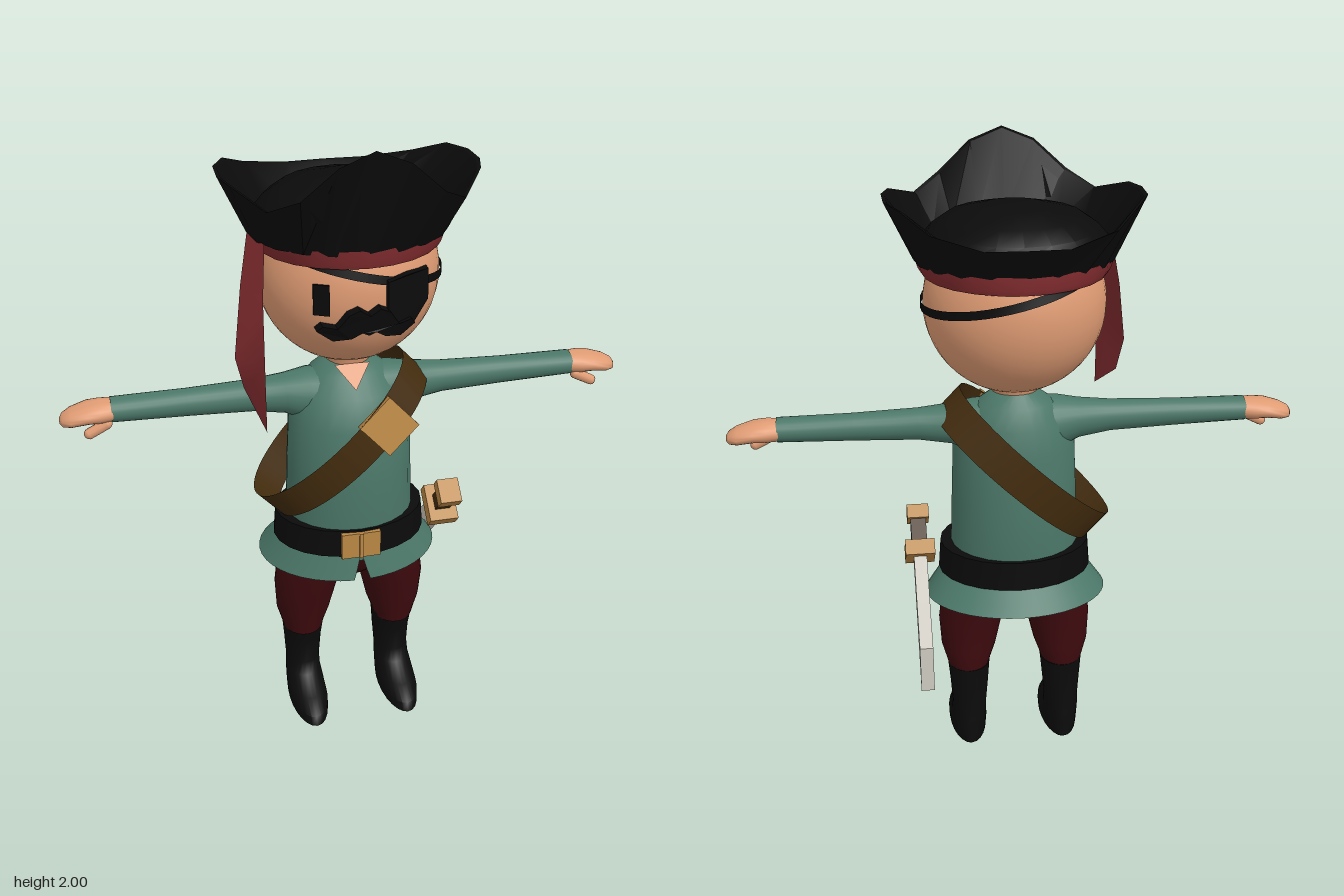
import * as THREE from 'three';
import { toCreasedNormals } from 'three/addons/utils/BufferGeometryUtils.js';

const mat = (name, color, side = THREE.FrontSide) =>
  Object.assign(new THREE.MeshStandardMaterial({ color, side }), { name });

// Ellipse of n points at height y
const ring = (y, rx, rz, cx = 0, cz = 0, n = 24) =>
  Array.from({ length: n }, (_, i) => {
    const a = (i / n) * Math.PI * 2;
    return [cx + rx * Math.sin(a), y, cz + rz * Math.cos(a)];
  });

// Skin over closed rings listed from the bottom up, capped at both ends
function loft(rings) {
  const n = rings[0].length, pos = rings.flat(2), idx = [];
  for (let i = 0; i < rings.length - 1; i++)
    for (let j = 0; j < n; j++) {
      const a = i * n + j, b = i * n + (j + 1) % n;
      idx.push(a, b, b + n, a, b + n, a + n);
    }
  [rings[0], rings.at(-1)].forEach((r, end) => {
    const c = pos.length / 3, start = end ? (rings.length - 1) * n : 0;
    for (let k = 0; k < 3; k++) pos.push(r.reduce((t, p) => t + p[k], 0) / n);
    for (let j = 0; j < n; j++) {
      const a = start + j, b = start + (j + 1) % n;
      idx.push(...(end ? [a, b, c] : [b, a, c]));
    }
  });
  const g = new THREE.BufferGeometry();
  g.setAttribute('position', new THREE.Float32BufferAttribute(pos, 3));
  g.setIndex(idx);
  g.computeVertexNormals();
  return g;
}
const body = rows => toCreasedNormals(loft(rows.map(r => ring(...r))), 0.9);

// Sheet whose points come from rule(u, v): u 0..1 around, v 0..1 upward
function sheet(nu, nv, rule) {
  const g = new THREE.PlaneGeometry(1, 1, nu, nv), p = g.attributes.position;
  for (let i = 0; i < p.count; i++) p.setXYZ(i, ...rule(p.getX(i) + 0.5, p.getY(i) + 0.5));
  g.computeVertexNormals();
  return g;
}

// Head ellipsoid
const HEAD = { y: 1.55, z: -0.015, rx: 0.275, ry: 0.278, rz: 0.258 };
const headZ = (x, y) => HEAD.z + HEAD.rz *
  Math.sqrt(Math.max(0, 1 - (x / HEAD.rx) ** 2 - ((y - HEAD.y) / HEAD.ry) ** 2));

// Flat outline wrapped on the face
function faceShape(points, depth, lift) {
  const shape = new THREE.Shape(points.map(p => new THREE.Vector2(...p)));
  const g = new THREE.ExtrudeGeometry(shape, { depth, bevelEnabled: false });
  const p = g.attributes.position;
  for (let i = 0; i < p.count; i++) p.setZ(i, p.getZ(i) + headZ(p.getX(i), p.getY(i)) + lift);
  g.computeVertexNormals();
  return g;
}

export function createModel() {
  const D = THREE.DoubleSide;
  const skin = mat('skin', 0xe09c74), tunic = mat('tunic green', 0x4b7768, D),
    black = mat('black', 0x0b0b0b, D), red = mat('bandana red', 0x822c2f, D),
    maroon = mat('trouser maroon', 0x3d0a0e), brown = mat('leather brown', 0x432c0e, D),
    gold = mat('gold', 0xbb8845), steel = mat('steel', 0xc8c4ba);
  const model = new THREE.Group();
  const add = (name, geo, material, parent = model) => {
    const m = new THREE.Mesh(geo, material);
    m.name = name;
    parent.add(m);
    return m;
  };

  // Head and neck
  const head = add('head', new THREE.SphereGeometry(1, 40, 28), skin);
  head.scale.set(HEAD.rx, HEAD.ry, HEAD.rz);
  head.position.set(0, HEAD.y, HEAD.z);
  add('neck', body([[1.2, 0.065, 0.06, 0, -0.015], [1.27, 0.07, 0.065, 0, -0.015], [1.32, 0.1, 0.09, 0, -0.015]]), skin);

  // Face: eye, moustache, patch and its strap
  add('eye', faceShape([[-0.15, 1.505], [-0.107, 1.505], [-0.107, 1.597], [-0.15, 1.597]], 0.008, 0.001), black);
  const half = [[0.03, 1.535], [0.06, 1.52], [0.09, 1.475], [0.13, 1.48], [0.145, 1.46], [0.1, 1.43], [0.05, 1.44], [0.02, 1.46]];
  add('moustache', faceShape([[0, 1.515], ...half, [0, 1.45], ...half.map(([x, y]) => [-x, y]).reverse()], 0.04, -0.005), black);
  add('eyePatch', faceShape([[0.055, 1.605], [0.055, 1.52], [0.085, 1.465], [0.145, 1.46], [0.19, 1.52], [0.19, 1.61], [0.12, 1.615]], 0.03, -0.004), black);
  add('patchStrap', sheet(48, 1, (u, v) => {
    const a = u * Math.PI * 2, y = 1.603 - 0.065 * Math.sin(a) + v * 0.026;
    const k = 1.025 * Math.sqrt(1 - ((y - HEAD.y) / HEAD.ry) ** 2);
    return [HEAD.rx * k * Math.sin(a), y, HEAD.z + HEAD.rz * k * Math.cos(a)];
  }), black);

  // Bandana with hanging tail
  add('bandana', body([[1.645, 0.275, 0.258, 0, -0.015], [1.66, 0.285, 0.263, 0, -0.015], [1.7, 0.298, 0.265, 0, -0.012]]), red);
  const tail = [
    [[-0.345, 1.26, 0.13], [-0.3, 1.17, 0.25]], [[-0.368, 1.36, 0.13], [-0.3, 1.38, 0.25]],
    [[-0.335, 1.56, 0.07], [-0.285, 1.54, 0.16]], [[-0.3, 1.69, 0.0], [-0.268, 1.69, 0.11]]];
  add('bandanaTail', sheet(1, 3, (u, v) => tail[Math.round(v * 3)][Math.round(u)]), red);

  // Hat: turned-up brim with peaked front, then the low crown inside it
  const rimHalf = [[0, 2, 0.32], [0.1, 1.96, 0.32], [0.2, 1.87, 0.3], [0.28, 1.825, 0.23], [0.36, 1.867, 0.11],
    [0.383, 1.87, 0.03], [0.38, 1.87, -0.07], [0.34, 1.866, -0.16], [0.26, 1.82, -0.26], [0.12, 1.79, -0.325], [0, 1.79, -0.33]];
  const rim = [...rimHalf, ...rimHalf.slice(1, -1).reverse().map(([x, y, z]) => [-x, y, z])];
  const hatRing = (y, rx, rz) => ring(y, rx, rz, 0, -0.01, 20);
  add('hat', toCreasedNormals(loft([hatRing(1.685, 0.298, 0.26), rim,
    rim.map(([x, y, z]) => [x * 0.97, y - 0.004, z * 0.97]), hatRing(1.74, 0.28, 0.25),
    hatRing(1.775, 0.25, 0.235), hatRing(1.81, 0.2, 0.19), hatRing(1.835, 0.1, 0.095)]), 0.5), black);

  // Tunic with a flared, slit skirt and an open neck
  add('tunicBody', body([[0.62, 0.22, 0.165], [0.75, 0.205, 0.178], [0.9, 0.2, 0.175], [1.08, 0.193, 0.158, 0, 0.005],
    [1.17, 0.168, 0.13, 0, -0.008], [1.23, 0.12, 0.09, 0, -0.018], [1.27, 0.065, 0.06, 0, -0.02]]), tunic);
  add('tunicSkirt', sheet(40, 3, (u, v) => {
    const w = 1 - v, gap = 0.09 * w, a = gap + u * (Math.PI * 2 - 2 * gap);
    return [(0.225 + 0.067 * w) * Math.sin(a), 0.665 - w * (0.085 + 0.01 * Math.cos(a)),
      -0.03 * w + (0.178 + 0.052 * w) * Math.cos(a)];
  }), tunic);
  const vNeck = [[0, 1.2, 0.107], [0.055, 1.265, 0.05], [-0.055, 1.265, 0.05]];
  const vGeo = new THREE.BufferGeometry().setFromPoints(vNeck.map(p => new THREE.Vector3(...p)));
  vGeo.computeVertexNormals();
  add('openNeck', vGeo, skin);

  // Belt and buckle
  add('belt', body([[0.655, 0.247, 0.193, 0, -0.005], [0.748, 0.24, 0.188, 0, -0.003]]), black);
  add('beltBuckle', new THREE.BoxGeometry(0.125, 0.088, 0.025), gold).position.set(-0.003, 0.698, 0.182);
  add('beltBuckleBar', new THREE.BoxGeometry(0.012, 0.088, 0.008), gold).position.set(-0.003, 0.698, 0.196);

  // Slanted sash over the left shoulder, with its buckle
  add('sash', sheet(48, 1, (u, v) => {
    const a = u * Math.PI * 2, l = 0.325 * Math.sin(a), w = (v - 0.5) * 0.115;
    return [-0.03 + 0.73 * l - 0.683 * w, 1.01 + 0.683 * l + 0.73 * w, 0.192 * Math.cos(a)];
  }), brown);
  const sashBuckle = add('sashBuckle', new THREE.BoxGeometry(0.13, 0.13, 0.025), gold);
  sashBuckle.position.set(0.085, 1.105, 0.176);
  sashBuckle.rotation.set(-0.2, 0, 0.75);

  // Hips
  add('hips', body([[0.505, 0.06, 0.07], [0.54, 0.17, 0.105], [0.6, 0.2, 0.13], [0.66, 0.2, 0.15]]), maroon);

  for (const s of [1, -1]) {
    const side = s > 0 ? 'left' : 'right';
    // Arm sections run outward along x: [x, centre y, half height, half depth]
    const limb = rows => body(rows.map(([x, cy, ry, rz]) => [x, ry, rz, -s * cy, -0.01]))
      .rotateZ(-s * Math.PI / 2);
    add(side + 'Sleeve', limb([[0.04, 1.13, 0.11, 0.1], [0.13, 1.15, 0.086, 0.085], [0.2, 1.16, 0.063, 0.065],
      [0.3, 1.163, 0.05, 0.05], [0.5, 1.163, 0.043, 0.043], [0.73, 1.165, 0.037, 0.047]]), tunic);
    add(side + 'Hand', limb([[0.71, 1.165, 0.033, 0.043], [0.76, 1.165, 0.034, 0.056], [0.8, 1.164, 0.03, 0.06],
      [0.85, 1.153, 0.026, 0.05], [0.875, 1.147, 0.019, 0.032], [0.884, 1.145, 0.008, 0.012]]), skin);
    const thumb = add(side + 'Thumb', new THREE.CapsuleGeometry(0.017, 0.06, 4, 10), skin);
    thumb.position.set(s * 0.773, 1.12, 0.02);
    thumb.rotation.z = s * 1.1;

    // Leg sections: [y, half width, half depth, centre x, centre z]
    const leg = rows => body(rows.map(([y, rx, rz, cx, cz]) => [y, rx, rz, s * cx, cz]));
    add(side + 'TrouserLeg', leg([[0.28, 0.066, 0.08, 0.157, -0.015], [0.31, 0.074, 0.085, 0.157, -0.015],
      [0.36, 0.09, 0.088, 0.155, -0.01], [0.46, 0.105, 0.098, 0.146, 0], [0.55, 0.112, 0.112, 0.128, 0], [0.64, 0.1, 0.125, 0.11, 0]]), maroon);
    add(side + 'Boot', leg([[0, 0.052, 0.145, 0.158, 0.05], [0.012, 0.062, 0.165, 0.158, 0.055],
      [0.04, 0.064, 0.158, 0.158, 0.05], [0.065, 0.062, 0.125, 0.158, 0.018], [0.1, 0.058, 0.08, 0.158, -0.022],
      [0.14, 0.057, 0.068, 0.157, -0.03], [0.22, 0.063, 0.068, 0.156, -0.03], [0.295, 0.07, 0.081, 0.156, -0.018]]), black);
  }

  // Sword hanging at the left hip
  const sword = new THREE.Group();
  sword.name = 'sword';
  sword.position.set(0.307, 0.7, 0.015);
  sword.rotation.x = 0.733;
  model.add(sword);
  add('guard', new THREE.BoxGeometry(0.095, 0.05, 0.125), gold, sword);
  add('grip', new THREE.BoxGeometry(0.05, 0.09, 0.05), brown, sword).position.y = 0.065;
  add('pommel', new THREE.BoxGeometry(0.07, 0.045, 0.08), gold, sword).position.y = 0.125;
  const blade = new THREE.Shape([[-0.03, 0], [-0.042, -0.18], [-0.063, -0.33], [0.02, -0.45], [0.022, -0.25], [0.03, 0]]
    .map(p => new THREE.Vector2(...p)));
  add('blade', new THREE.ExtrudeGeometry(blade, { depth: 0.042, bevelEnabled: false })
    .translate(0, 0, -0.021).rotateY(-Math.PI / 2), steel, sword);

  return model;
}
